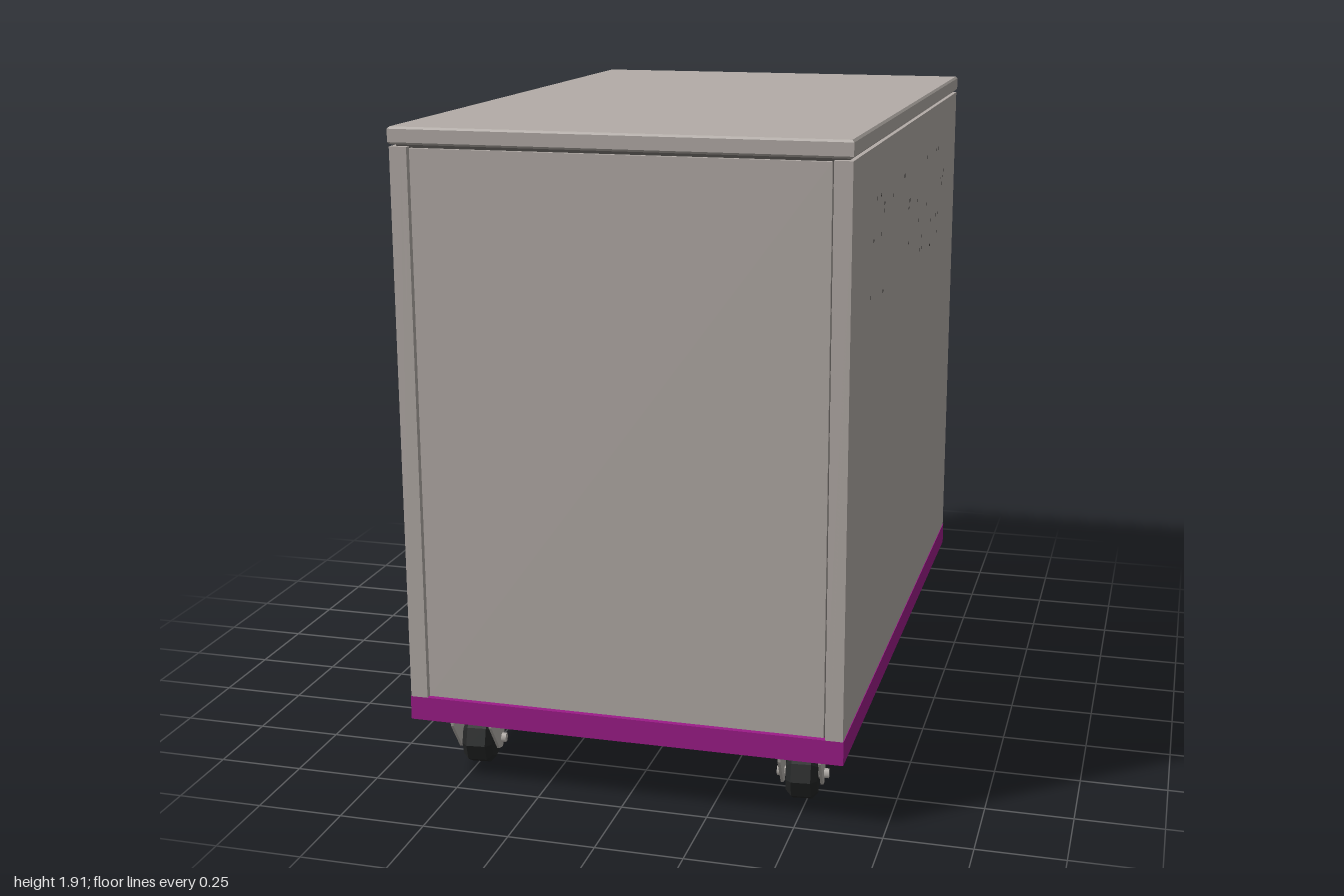
import * as THREE from 'three';
import { mergeGeometries } from 'three/addons/utils/BufferGeometryUtils.js';

const mat = (name, color) => Object.assign(new THREE.MeshStandardMaterial({ color }), { name });

export function createModel() {
  const M = {
    panel: mat('warm grey panel', 0xb3aca7),
    seam: mat('dark seam grey', 0x4c4946),
    base: mat('magenta base', 0x9c1c88),
    metal: mat('caster metal', 0xb5b0ab),
    rubber: mat('black rubber', 0x242626),
  };
  const root = new THREE.Group();
  root.name = 'wheeledCabinet';
  const add = (parent, name, geo, material, x = 0, y = 0, z = 0) => {
    const m = new THREE.Mesh(geo, material);
    m.name = name;
    m.position.set(x, y, z);
    parent.add(m);
    return m;
  };
  // box given by its minimum and maximum on each axis
  const box = (parent, name, material, x0, x1, y0, y1, z0, z1) =>
    add(parent, name, new THREE.BoxGeometry(x1 - x0, y1 - y0, z1 - z0), material,
      (x0 + x1) / 2, (y0 + y1) / 2, (z0 + z1) / 2);

  // cabinet: dark core seen through the seams, side panels with folded posts, end panels, lid
  const cabinet = new THREE.Group();
  cabinet.name = 'cabinet';
  root.add(cabinet);
  box(cabinet, 'core', M.seam, -0.62, 0.62, 0.262, 1.87, -0.975, 0.975);
  for (const s of [-1, 1]) {
    const [a, b] = s < 0 ? [-0.633, -0.6] : [0.6, 0.633];
    box(cabinet, 'sidePanel', M.panel, a, b, 0.27, 1.856, -0.995, 0.995);
    for (const e of [-1, 1]) {
      const post = new THREE.BoxGeometry(0.05, 1.586, 0.03);
      add(cabinet, 'cornerPost', post, M.panel, s * 0.608, 1.063, e * 0.98);
    }
  }
  box(cabinet, 'frontPanel', M.panel, -0.578, 0.578, 0.274, 1.852, 0.96, 0.988);
  box(cabinet, 'backPanel', M.panel, -0.578, 0.578, 0.274, 1.852, -0.985, -0.96);

  // lid with softly bevelled edges
  const lidShape = new THREE.Shape([[-0.629, -0.994], [0.629, -0.994], [0.629, 0.994], [-0.629, 0.994]]
    .map(([x, y]) => new THREE.Vector2(x, y)));
  const lidGeo = new THREE.ExtrudeGeometry(lidShape, {
    depth: 0.036, bevelEnabled: true, bevelSize: 0.006, bevelThickness: 0.006, bevelSegments: 1,
  }).rotateX(-Math.PI / 2);
  add(cabinet, 'lid', lidGeo, M.panel, 0, 1.868, 0);

  // service hatch at the back
  box(cabinet, 'hatchOutline', M.seam, -0.41, -0.14, 0.274, 0.565, -0.988, -0.984);
  box(cabinet, 'hatch', M.panel, -0.404, -0.146, 0.28, 0.559, -0.992, -0.984);

  // small vent holes in the side panels
  const dots = (name, side, list) => {
    const geos = list.map(([z, y]) => new THREE.CircleGeometry(0.0065, 6)
      .rotateY(side * Math.PI / 2).translate(side * 0.6342, y, z));
    add(cabinet, name, mergeGeometries(geos), M.seam);
  };
  dots('upperVentHoles', 1, [
    [0.63, 1.71], [0.56, 1.71], [0.5, 1.68], [0.51, 1.66], [0.35, 1.68], [0.16, 1.71], [0.14, 1.71],
    [0.67, 1.6], [0.55, 1.6], [0.71, 1.45], [0.5, 1.43], [0.05, 1.6], [0.04, 1.62], [0.02, 1.62],
    [0.04, 1.49], [-0.12, 1.6], [-0.16, 1.53], [-0.31, 1.71], [-0.32, 1.56], [-0.24, 1.47],
    [-0.2, 1.43], [-0.24, 1.43], [-0.43, 1.49], [-0.41, 1.41], [-0.43, 1.41], [-0.53, 1.71],
    [-0.56, 1.71], [-0.55, 1.49], [-0.58, 1.49], [-0.57, 1.43], [-0.64, 1.6], [-0.66, 1.58],
    [-0.7, 1.62], [-0.69, 1.6],
  ]);
  let seed = 7;
  const rnd = () => (seed = (seed * 16807) % 2147483647) / 2147483647;
  const lower = [];
  for (let r = 0; r < 14; r++)
    for (let c = 0; c < 44; c++)
      if (rnd() < 0.5) lower.push([-0.74 + c * 0.0345 + (r % 2) * 0.017, 0.49 + r * 0.0235]);
  dots('lowerVentHoles', -1, lower);

  // base: rim, recessed floor and stiffening rails underneath
  const base = new THREE.Group();
  base.name = 'base';
  root.add(base);
  box(base, 'floor', M.base, -0.62, 0.62, 0.245, 0.265, -0.985, 0.985);
  for (const s of [-1, 1]) {
    add(base, 'sideRim', new THREE.BoxGeometry(0.025, 0.07, 1.99), M.base, s * 0.6225, 0.235, 0);
    add(base, 'endRim', new THREE.BoxGeometry(1.22, 0.07, 0.025), M.base, 0, 0.235, s * 0.9825);
  }
  const rail = (x0, x1, z0, z1) => box(base, 'rail', M.base, x0, x1, 0.212, 0.25, z0, z1);
  rail(0.4, 0.44, -0.97, 0.97);
  rail(-0.42, -0.38, -0.97, 0.97);
  rail(-0.38, 0.4, -0.46, -0.41);
  rail(-0.38, 0.4, 0.3, 0.35);
  rail(0.02, 0.06, -0.97, -0.46);
  rail(-0.04, 0, 0.35, 0.97);
  box(base, 'sideGrille', M.metal, -0.6, -0.555, 0.241, 0.246, -0.5, 0.44);
  box(base, 'frontGrille', M.metal, -0.29, 0.28, 0.241, 0.246, 0.925, 0.965);

  // swivel caster, trailing towards the back
  const forkShape = new THREE.Shape([
    [-0.075, 0.185], [0.06, 0.185], [0.055, 0.155], [-0.03, 0.055], [-0.065, 0.045], [-0.09, 0.07],
  ].map(([z, y]) => new THREE.Vector2(z, y)));
  const forkGeo = new THREE.ExtrudeGeometry(forkShape, { depth: 0.008, bevelEnabled: false })
    .translate(0, 0, -0.004).rotateY(-Math.PI / 2);
  const tyreGeo = new THREE.LatheGeometry(
    [[0, -0.045], [0.058, -0.045], [0.077, -0.028], [0.077, 0.028], [0.058, 0.045], [0, 0.045]]
      .map(([x, y]) => new THREE.Vector2(x, y)), 9).rotateZ(Math.PI / 2).toNonIndexed();
  tyreGeo.computeVertexNormals();

  const caster = (x, z, yaw) => {
    const g = new THREE.Group();
    g.name = 'caster';
    g.position.set(x, 0, z);
    root.add(g);
    add(g, 'mountPad', new THREE.BoxGeometry(0.14, 0.05, 0.2), M.base, 0, 0.225, 0);
    add(g, 'mountPlate', new THREE.BoxGeometry(0.13, 0.01, 0.17), M.metal, 0, 0.196, 0);
    for (const bx of [-0.05, 0.05])
      for (const bz of [-0.09, 0.09])
        add(g, 'bolt', new THREE.CylinderGeometry(0.011, 0.011, 0.014, 6), M.base, bx, 0.194, bz);
    const swivel = new THREE.Group();
    swivel.name = 'swivel';
    swivel.rotation.y = yaw;
    g.add(swivel);
    add(swivel, 'bearing', new THREE.CylinderGeometry(0.05, 0.055, 0.02, 10), M.metal, 0, 0.182, 0);
    add(swivel, 'forkBridge', new THREE.BoxGeometry(0.115, 0.01, 0.12), M.metal, 0, 0.176, -0.005);
    for (const s of [-1, 1]) add(swivel, 'forkArm', forkGeo, M.metal, s * 0.057, 0, 0);
    const axle = new THREE.CylinderGeometry(0.014, 0.014, 0.15, 6).rotateZ(Math.PI / 2);
    add(swivel, 'axle', axle, M.metal, 0, 0.077, -0.06);
    add(swivel, 'wheel', tyreGeo, M.rubber, 0, 0.077, -0.06);
  };
  for (const s of [-1, 1]) {
    caster(s * 0.49, 0.86, 0.1);
    caster(s * 0.49, -0.83, 0.1);
  }
  return root;
}
